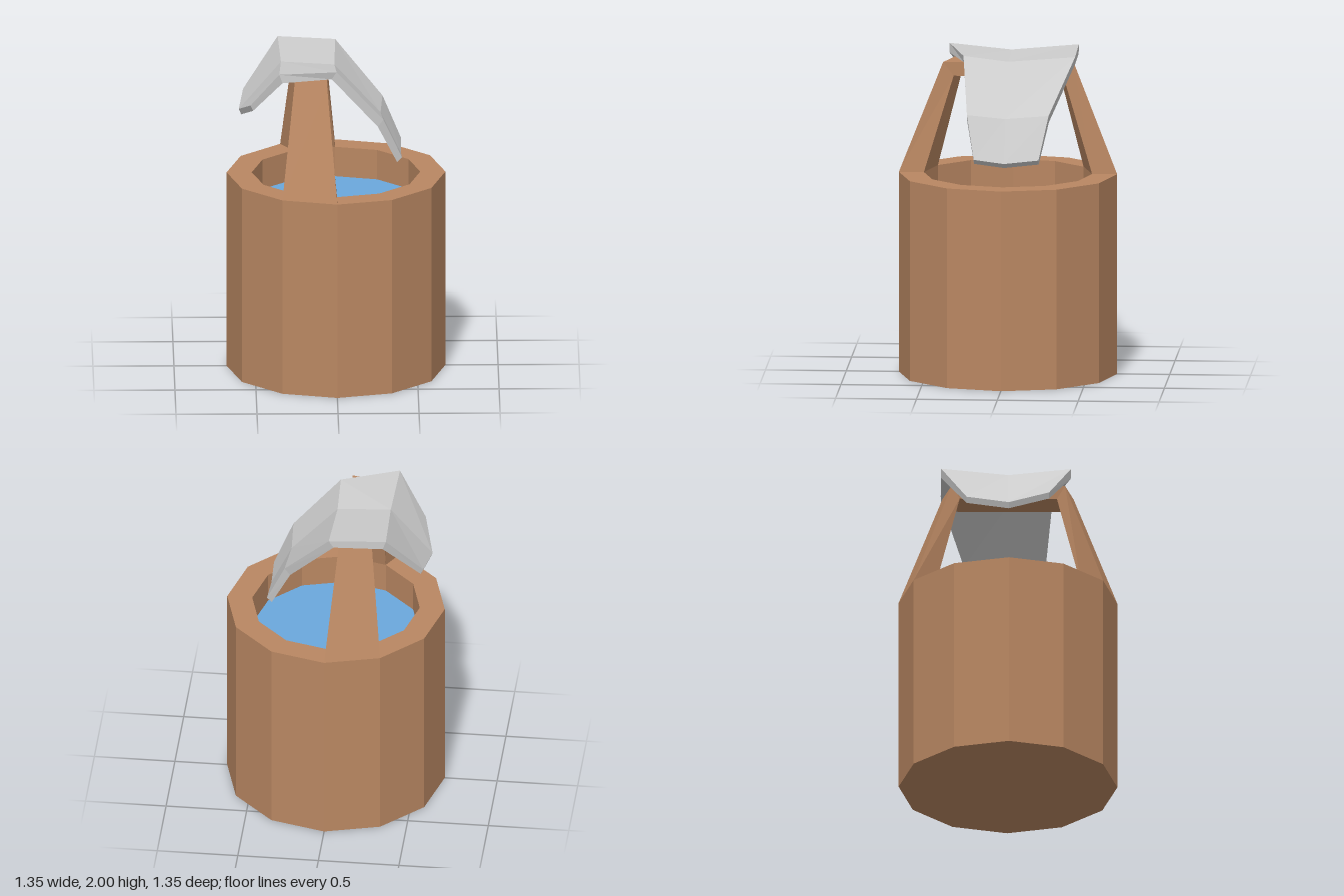
import * as THREE from 'three';

const material = (color) => new THREE.MeshStandardMaterial({ color, flatShading: true });

// Closed solid through a series of rings with equal point counts
function loft(rings) {
  const positions = [];
  const n = rings[0].length;
  const quad = (a, b, c, d) => positions.push(...a, ...b, ...c, ...a, ...c, ...d);
  for (let i = 0; i < rings.length - 1; i++) {
    for (let j = 0; j < n; j++) {
      const k = (j + 1) % n;
      quad(rings[i][j], rings[i][k], rings[i + 1][k], rings[i + 1][j]);
    }
  }
  const first = rings[0], last = rings[rings.length - 1];
  for (let k = 0; k < n / 2 - 1; k++) {
    quad(first[n - 1 - k], first[n - 2 - k], first[k + 1], first[k]);
    quad(last[k], last[k + 1], last[n - 2 - k], last[n - 1 - k]);
  }
  const geometry = new THREE.BufferGeometry();
  geometry.setAttribute('position', new THREE.Float32BufferAttribute(positions, 3));
  geometry.computeVertexNormals();
  return geometry;
}

export function createModel() {
  const group = new THREE.Group();
  const wood = material(0xb98762);
  const add = (name, geometry, mat) => {
    const mesh = new THREE.Mesh(geometry, mat);
    mesh.name = name;
    group.add(mesh);
    return mesh;
  };

  const outer = 0.675, inner = 0.52, height = 1.25, waterLevel = 1.06, sides = 12;

  // Twelve-sided tub with a thick rim
  const profile = [[0, 0], [outer, 0], [outer, height], [inner, height], [inner, waterLevel - 0.02]];
  add('bucket', new THREE.LatheGeometry(profile.map(([x, y]) => new THREE.Vector2(x, y)), sides), wood);

  // Water surface inside the tub
  const water = add('water', new THREE.CircleGeometry(inner, sides).rotateX(-Math.PI / 2), material(0x6ba8dc));
  water.position.y = waterLevel;

  // Handle: tapering posts growing from one rim segment, joined by a crossbar
  const a = Math.PI / 6;
  const rim = (r, angle) => [-r * Math.sin(angle), height, r * Math.cos(angle)];
  const base = [rim(outer, a), rim(outer, 0), rim(inner, 0), rim(inner, a)];
  const top = [[-0.26, 1.93, 0.35], [-0.06, 1.93, 0.405], [-0.06, 1.845, 0.34], [-0.25, 1.845, 0.3]];
  const back = (ring) => ring.map(([x, y, z]) => [x, y, -z]);
  add('handle', loft([base, top, back(top), back(base)]), wood);

  // Cloth draped over the crossbar: top points (back, middle, front), then thickness offset
  const columns = [
    { top: [[-0.57, 1.71, -0.26], [-0.6, 1.66, 0], [-0.53, 1.76, 0.25]], drop: [0.015, -0.035] },
    { top: [[-0.355, 2, -0.415], [-0.34, 1.965, 0], [-0.355, 2, 0.385]], drop: [0.02, -0.055] },
    { top: [[0, 1.98, -0.415], [-0.01, 1.945, 0], [0, 1.98, 0.275]], drop: [-0.03, -0.045] },
    { top: [[0.29, 1.66, -0.27], [0.275, 1.635, 0], [0.29, 1.66, 0.235]], drop: [-0.035, -0.045] },
    { top: [[0.405, 1.4, -0.215], [0.4, 1.375, 0], [0.405, 1.4, 0.185]], drop: [-0.03, -0.03] },
  ];
  const clothRings = columns.map(({ top: t, drop: [dx, dy] }) => [
    ...t,
    ...t.map(([x, y, z]) => [x + dx, y + dy, z]).reverse(),
  ]);
  add('cloth', loft(clothRings), material(0xcccccc));

  return group;
}
